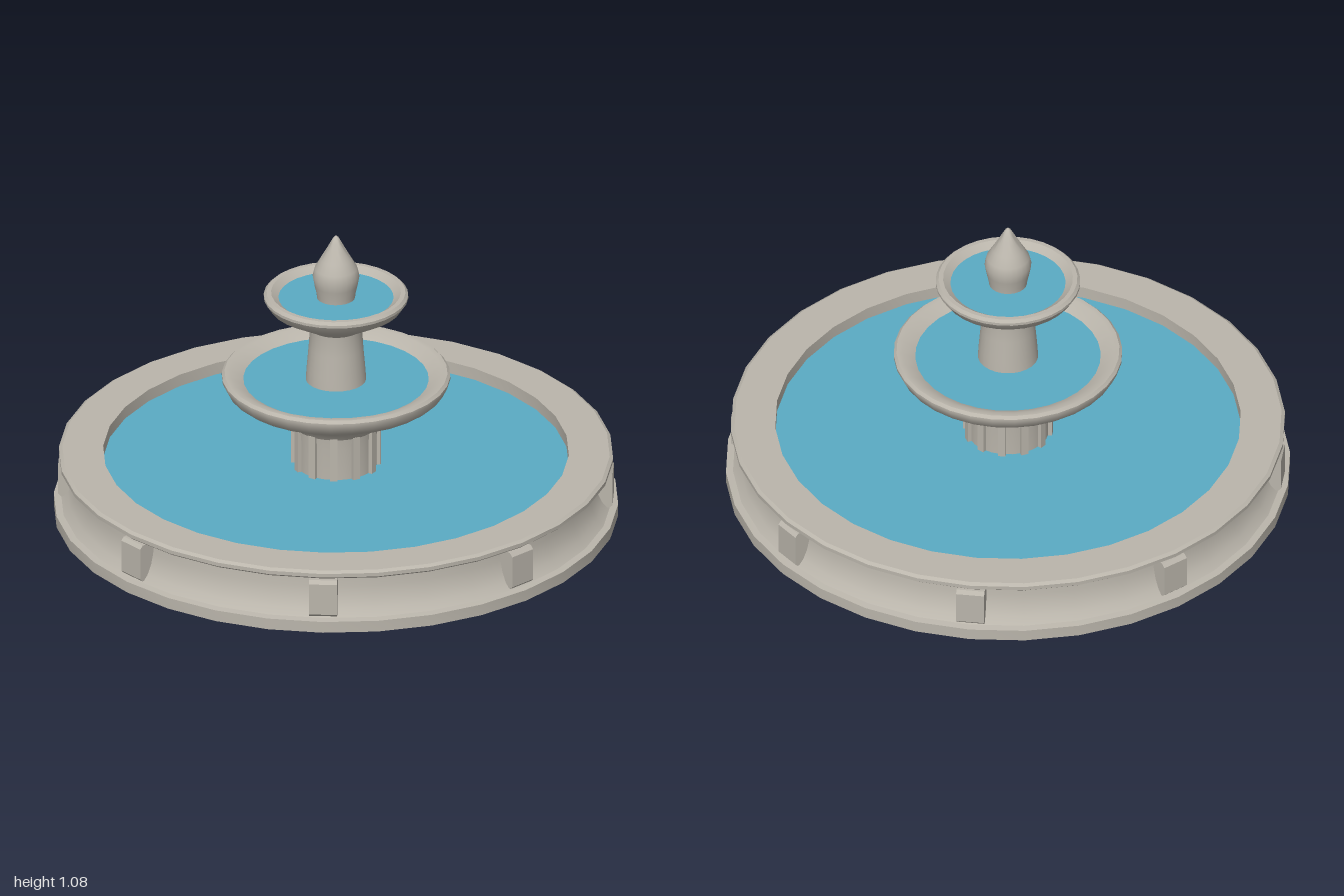
import * as THREE from 'three';
import { toCreasedNormals } from 'three/addons/utils/BufferGeometryUtils.js';

export function createModel() {
  const stone = new THREE.MeshStandardMaterial({ color: 0xbab5ab });
  stone.name = 'stone';
  const water = new THREE.MeshStandardMaterial({ color: 0x5aabc4 });
  water.name = 'water';

  const fountain = new THREE.Group();
  fountain.name = 'fountain';

  function add(name, geometry, material, parent = fountain) {
    const mesh = new THREE.Mesh(geometry, material);
    mesh.name = name;
    parent.add(mesh);
    return mesh;
  }

  // Turned stone part: profile of [radius, height] from bottom to top
  function turned(name, profile, segments = 32, crease = 0.55) {
    const points = profile.map(([r, y]) => new THREE.Vector2(r, y));
    const geometry = toCreasedNormals(new THREE.LatheGeometry(points, segments), crease);
    return add(name, geometry, stone);
  }

  function pool(name, radius, y) {
    const geometry = new THREE.CircleGeometry(radius, 32).rotateX(-Math.PI / 2);
    add(name, geometry, water).position.y = y;
  }

  // Main basin: plinth, hollowed wall, overhanging rim and inner wall
  turned('basin', [
    [0, 0], [1, 0], [1, 0.042], [0.975, 0.046], [0.952, 0.07], [0.935, 0.105],
    [0.925, 0.145], [0.922, 0.198], [0.972, 0.2], [0.982, 0.208], [0.982, 0.222],
    [0.97, 0.23], [0.825, 0.23], [0.825, 0.15],
  ]);
  pool('basinWater', 0.828, 0.185);

  // Eight blocks around the basin wall
  const block = new THREE.Shape();
  [[0.88, 0.052], [0.972, 0.052], [0.982, 0.062], [0.982, 0.18], [0.97, 0.192], [0.88, 0.192]]
    .forEach(([x, y], i) => (i ? block.lineTo(x, y) : block.moveTo(x, y)));
  const blockGeometry = new THREE.ExtrudeGeometry(block, { depth: 0.1, bevelEnabled: false })
    .translate(0, 0, -0.05);
  const blocks = new THREE.Group();
  blocks.name = 'wallBlocks';
  fountain.add(blocks);
  for (let i = 0; i < 8; i++) {
    add('wallBlock', blockGeometry, stone, blocks).rotation.y = (i * Math.PI) / 4;
  }

  // Ribbed pedestal
  turned('pedestal', [[0.146, 0.15], [0.146, 0.3], [0.152, 0.36]], 24);
  const ribGeometry = new THREE.BoxGeometry(0.03, 0.19, 0.026);
  const ribs = new THREE.Group();
  ribs.name = 'pedestalRibs';
  fountain.add(ribs);
  for (let i = 0; i < 12; i++) {
    const angle = (i * Math.PI) / 6;
    const rib = add('pedestalRib', ribGeometry, stone, ribs);
    rib.position.set(Math.cos(angle) * 0.144, 0.255, Math.sin(angle) * 0.144);
    rib.rotation.y = -angle;
  }

  // Lower bowl
  turned('lowerBowl', [
    [0.13, 0.335], [0.155, 0.345], [0.172, 0.37], [0.21, 0.4], [0.29, 0.435], [0.37, 0.47],
    [0.388, 0.485], [0.405, 0.52], [0.405, 0.53], [0.395, 0.54], [0.375, 0.54],
    [0.325, 0.512], [0.29, 0.49],
  ]);
  pool('lowerBowlWater', 0.33, 0.514);

  // Upper column
  turned('upperColumn', [[0.108, 0.5], [0.104, 0.56], [0.097, 0.64], [0.092, 0.72], [0.095, 0.74]], 24);

  // Upper bowl
  turned('upperBowl', [
    [0.08, 0.715], [0.095, 0.72], [0.122, 0.737], [0.165, 0.762], [0.235, 0.803],
    [0.256, 0.835], [0.256, 0.845], [0.246, 0.855], [0.23, 0.855], [0.2, 0.832], [0.18, 0.815],
  ]);
  pool('upperBowlWater', 0.204, 0.835);

  // Finial
  turned('finial', [
    [0.066, 0.815], [0.069, 0.85], [0.077, 0.885], [0.083, 0.92], [0.076, 0.95],
    [0.056, 0.985], [0.036, 1.02], [0.02, 1.05], [0.009, 1.07], [0, 1.078],
  ], 24, 0.9);

  return fountain;
}
